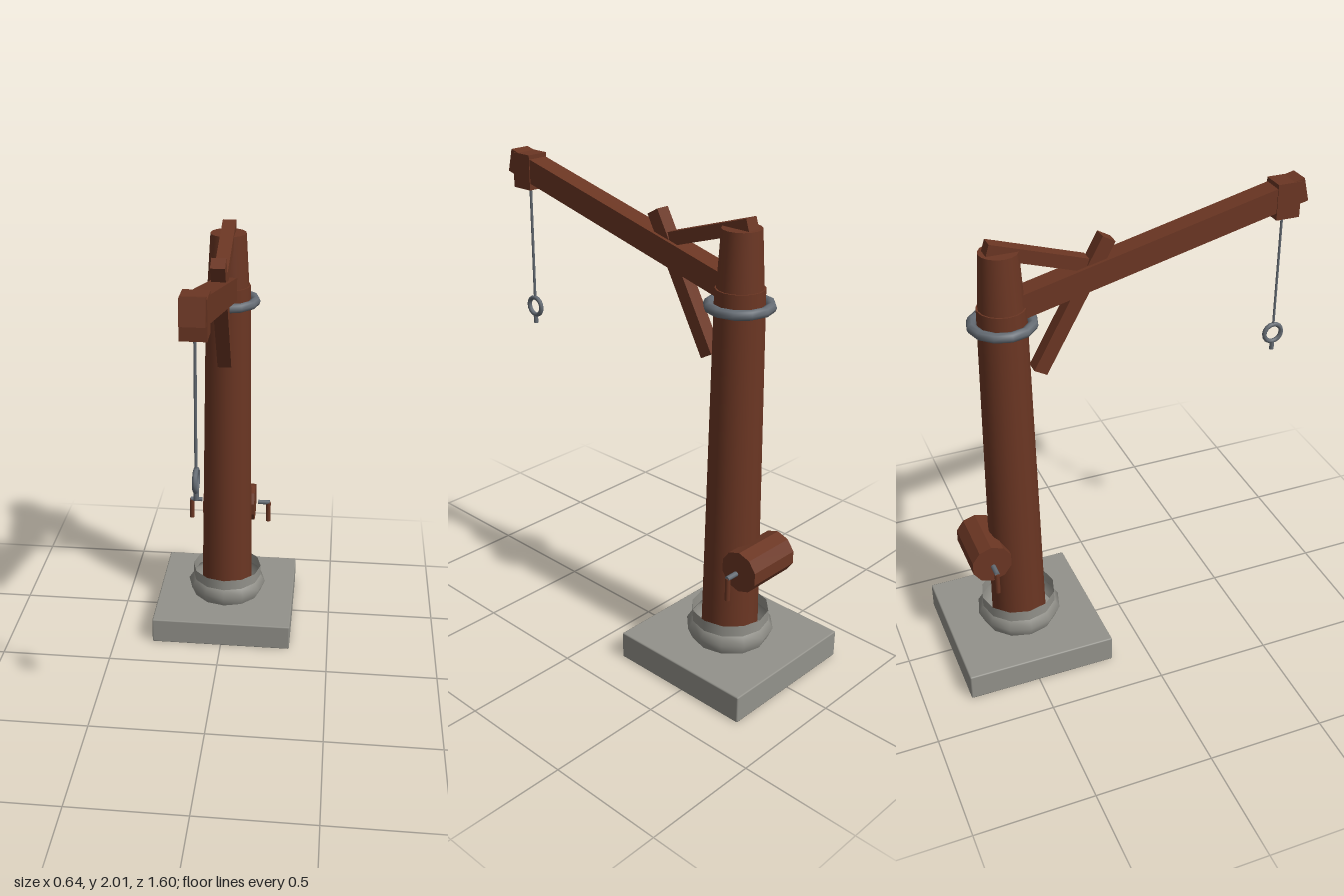
import * as THREE from 'three';
import { RoundedBoxGeometry } from 'three/addons/geometries/RoundedBoxGeometry.js';

export function createModel() {
  const model = new THREE.Group();
  model.name = 'postCrane';

  const material = (name, color, options = {}) => {
    const m = new THREE.MeshStandardMaterial({ color, ...options });
    m.name = name;
    return m;
  };
  const wood = material('wood', 0x6b3623);
  const stone = material('stone', 0x93928b, { side: THREE.DoubleSide });
  const steel = material('steel', 0x656c74);

  const add = (name, geometry, mat, x = 0, y = 0, z = 0) => {
    const mesh = new THREE.Mesh(geometry, mat);
    mesh.name = name;
    mesh.position.set(x, y, z);
    model.add(mesh);
    return mesh;
  };

  // Square timber between two [z, y] points in the centre plane
  const beam = (name, [z0, y0], [z1, y1], width, depth) => {
    const length = Math.hypot(z1 - z0, y1 - y0);
    const mesh = add(name, new THREE.BoxGeometry(width, depth, length), wood, 0, (y0 + y1) / 2, (z0 + z1) / 2);
    mesh.rotation.x = -Math.atan2(y1 - y0, z1 - z0);
  };

  const postZ = -0.482;

  // Stone footing and open collar
  add('baseSlab', new RoundedBoxGeometry(0.645, 0.12, 0.645, 1, 0.006), stone, 0, 0.06, postZ);
  const collarProfile = [[0.163, 0.12], [0.185, 0.17], [0.163, 0.205]].map(p => new THREE.Vector2(...p));
  add('collarFoot', new THREE.LatheGeometry(collarProfile, 12), stone, 0, 0, postZ);
  add('collarRim', new THREE.CylinderGeometry(0.163, 0.163, 0.05, 12, 1, true), stone, 0, 0.23, postZ);

  // Tapered post, narrower head and steel band
  add('post', new THREE.CylinderGeometry(0.098, 0.12, 1.54, 16), wood, 0, 0.89, postZ);
  add('postHead', new THREE.CylinderGeometry(0.078, 0.095, 0.29, 16), wood, 0, 1.745, postZ);
  const band = new THREE.TorusGeometry(0.121, 0.021, 8, 12).rotateX(Math.PI / 2);
  add('postBand', band, steel, 0, 1.59, postZ);

  // Boom and its braces
  beam('boom', [-0.45, 1.653], [0.788, 1.957], 0.09, 0.1);
  beam('lowerBrace', [-0.344, 1.353], [-0.05, 1.88], 0.06, 0.06);
  beam('upperBrace', [-0.532, 1.91], [-0.14, 1.785], 0.058, 0.055);
  add('boomHead', new THREE.BoxGeometry(0.097, 0.15, 0.103), wood, 0, 1.92, 0.711);

  // Hanging cable with ring and stub
  add('cable', new THREE.CylinderGeometry(0.006, 0.006, 0.51, 6), steel, 0, 1.6, 0.712);
  const ring = new THREE.TorusGeometry(0.04, 0.01, 8, 16).rotateY(Math.PI / 2);
  add('hookRing', ring, steel, 0, 1.302, 0.712);
  add('hookStub', new THREE.CylinderGeometry(0.01, 0.01, 0.04, 8), steel, 0, 1.243, 0.712);

  // Winch drum with a crank on each side
  const drum = new THREE.CylinderGeometry(0.088, 0.088, 0.245, 10).rotateY(Math.PI / 2).rotateZ(Math.PI / 2);
  const drumMaterial = material('drumWood', 0x6b3623, { flatShading: true });
  add('winchDrum', drum, drumMaterial, 0, 0.53, -0.622);
  for (const [side, s] of [['left', 1], ['right', -1]]) {
    const axle = new THREE.CylinderGeometry(0.011, 0.011, 0.056, 8).rotateZ(Math.PI / 2);
    add(side + 'CrankAxle', axle, steel, s * 0.165, 0.53, -0.622);
    add(side + 'CrankGrip', new THREE.CylinderGeometry(0.011, 0.011, 0.1, 8), wood, s * 0.187, 0.48, -0.622);
  }

  return model;
}
